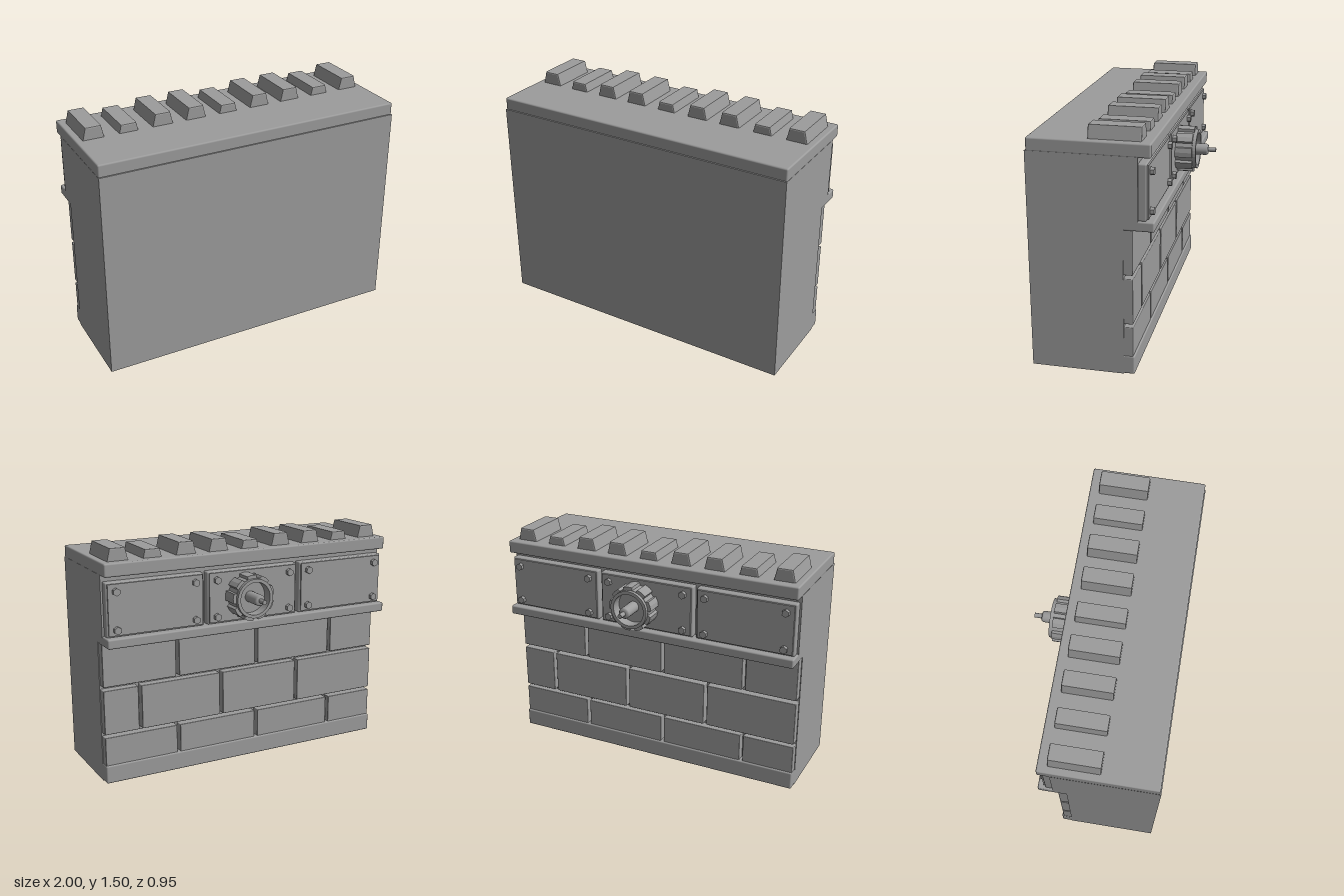
import * as THREE from 'three';
import { RoundedBoxGeometry } from 'three/addons/geometries/RoundedBoxGeometry.js';

export function createModel() {
  const root = new THREE.Group();
  root.name = 'wallSection';
  const grey = new THREE.MeshStandardMaterial({ color: 0x9c9c9c });
  grey.name = 'concrete grey';

  const add = (name, geometry, parent = root) => {
    const mesh = new THREE.Mesh(geometry, grey);
    mesh.name = name;
    parent.add(mesh);
    return mesh;
  };
  // Box given by its limits on each axis; r > 0 softens the edges
  const box = (name, x0, x1, y0, y1, z0, z1, r = 0, parent = root) => {
    const size = [x1 - x0, y1 - y0, z1 - z0];
    const geometry = r ? new RoundedBoxGeometry(...size, 2, r) : new THREE.BoxGeometry(...size);
    add(name, geometry, parent).position.set((x0 + x1) / 2, (y0 + y1) / 2, (z0 + z1) / 2);
  };
  const group = (name) => {
    const g = new THREE.Group();
    g.name = name;
    root.add(g);
    return g;
  };

  // Core, with a deeper upper band
  box('wallCore', -1, 1, 0, 0.95, -0.09, 0.475);
  box('upperCore', -1, 1, 0.95, 1.345, -0.175, 0.475);
  box('topSlab', -1, 1, 1.34, 1.422, -0.25, 0.468, 0.01);
  box('ledge', -1, 1, 0.91, 0.97, -0.27, -0.08, 0.01);
  box('baseSkirting', -1, 1, 0.002, 0.12, -0.155, -0.08, 0.01);

  // Courses of large bricks on the back
  const bricks = group('bricks');
  const courses = [
    [0.1, 0.305, [-0.645, -0.075, 0.495]],
    [0.325, 0.612, [-0.385, 0.185, 0.755]],
    [0.635, 0.915, [-0.645, -0.075, 0.495]],
  ];
  for (const [y0, y1, joints] of courses) {
    const edges = [-1.007, ...joints, 1.007];
    for (let i = 0; i < edges.length - 1; i++) {
      box('brick', edges[i] + 0.011, edges[i + 1] - 0.011, y0, y1, -0.145, -0.08, 0.005, bricks);
    }
  }

  // Three bolted panels under the slab
  const panels = group('panels');
  const boltGeometry = new THREE.CylinderGeometry(0.024, 0.024, 0.03, 6).toNonIndexed();
  boltGeometry.rotateX(Math.PI / 2);
  boltGeometry.computeVertexNormals();
  for (const cx of [-0.667, 0, 0.667]) {
    box('panel', cx - 0.322, cx + 0.322, 0.968, 1.305, -0.224, -0.17, 0.01, panels);
    box('panelPlate', cx - 0.31, cx + 0.31, 0.98, 1.295, -0.234, -0.22, 0, panels);
    for (const dx of [-0.26, 0.26]) {
      for (const y of [1.015, 1.25]) add('bolt', boltGeometry, panels).position.set(cx + dx, y, -0.243);
    }
  }

  // Tapered blocks along the top, some sunk lower
  const blocks = group('topBlocks');
  const bevel = 0.008;
  const profile = new THREE.Shape([
    [-0.066, -0.025], [0.066, -0.025], [0.043, 0.068], [-0.043, 0.068],
  ].map(([x, y]) => new THREE.Vector2(x, y)));
  const blockGeometry = new THREE.ExtrudeGeometry(profile, {
    depth: 0.31 - 2 * bevel, bevelThickness: bevel, bevelSize: bevel, bevelSegments: 2,
  });
  for (let i = 0; i < 9; i++) {
    const top = i % 3 === 1 ? 1.475 : 1.5;
    add('topBlock', blockGeometry, blocks).position.set((i - 4) * 0.2225, top - 0.076, -0.19 + bevel);
  }

  // Handwheel: grooved ring, smooth rim, dish and spindle; built along local +z, turned to the back
  const wheel = group('handwheel');
  wheel.position.set(0.055, 1.135, 0);
  wheel.rotation.y = Math.PI;
  const ring = (name, outer, inner, z0, z1) => {
    const shape = new THREE.Shape(outer);
    shape.holes.push(new THREE.Path().absarc(0, 0, inner, 0, Math.PI * 2, true));
    const geometry = new THREE.ExtrudeGeometry(shape, { depth: z1 - z0, bevelEnabled: false, curveSegments: 32 });
    add(name, geometry, wheel).position.z = z0;
  };
  const teeth = 9;
  const gripOutline = [];
  for (let i = 0; i < teeth; i++) {
    for (const [t, r] of [[0.1, 0.146], [0.4, 0.147], [0.7, 0.146], [0.76, 0.128], [1.04, 0.128]]) {
      const a = ((i + t) / teeth) * Math.PI * 2;
      gripOutline.push(new THREE.Vector2(r * Math.cos(a), r * Math.sin(a)));
    }
  }
  const rimOutline = new THREE.Path().absarc(0, 0, 0.125, 0, Math.PI * 2).getPoints(20).slice(0, -1);
  ring('wheelGrip', gripOutline, 0.104, 0.232, 0.34);
  ring('wheelRim', rimOutline, 0.104, 0.335, 0.362);

  const turned = (name, radius, z0, z1, sides = 20) => {
    const geometry = new THREE.CylinderGeometry(radius, radius, z1 - z0, sides);
    geometry.rotateX(Math.PI / 2);
    add(name, geometry, wheel).position.z = (z0 + z1) / 2;
  };
  turned('wheelDish', 0.108, 0.23, 0.29, 32);
  const hub = [[0.036, 0.28], [0.036, 0.415], [0.028, 0.426], [0, 0.426]];
  const hubGeometry = new THREE.LatheGeometry(hub.map(([r, y]) => new THREE.Vector2(r, y)), 20);
  hubGeometry.rotateX(Math.PI / 2);
  add('wheelHub', hubGeometry, wheel);
  turned('spindleTip', 0.015, 0.42, 0.475, 10);

  return root;
}
